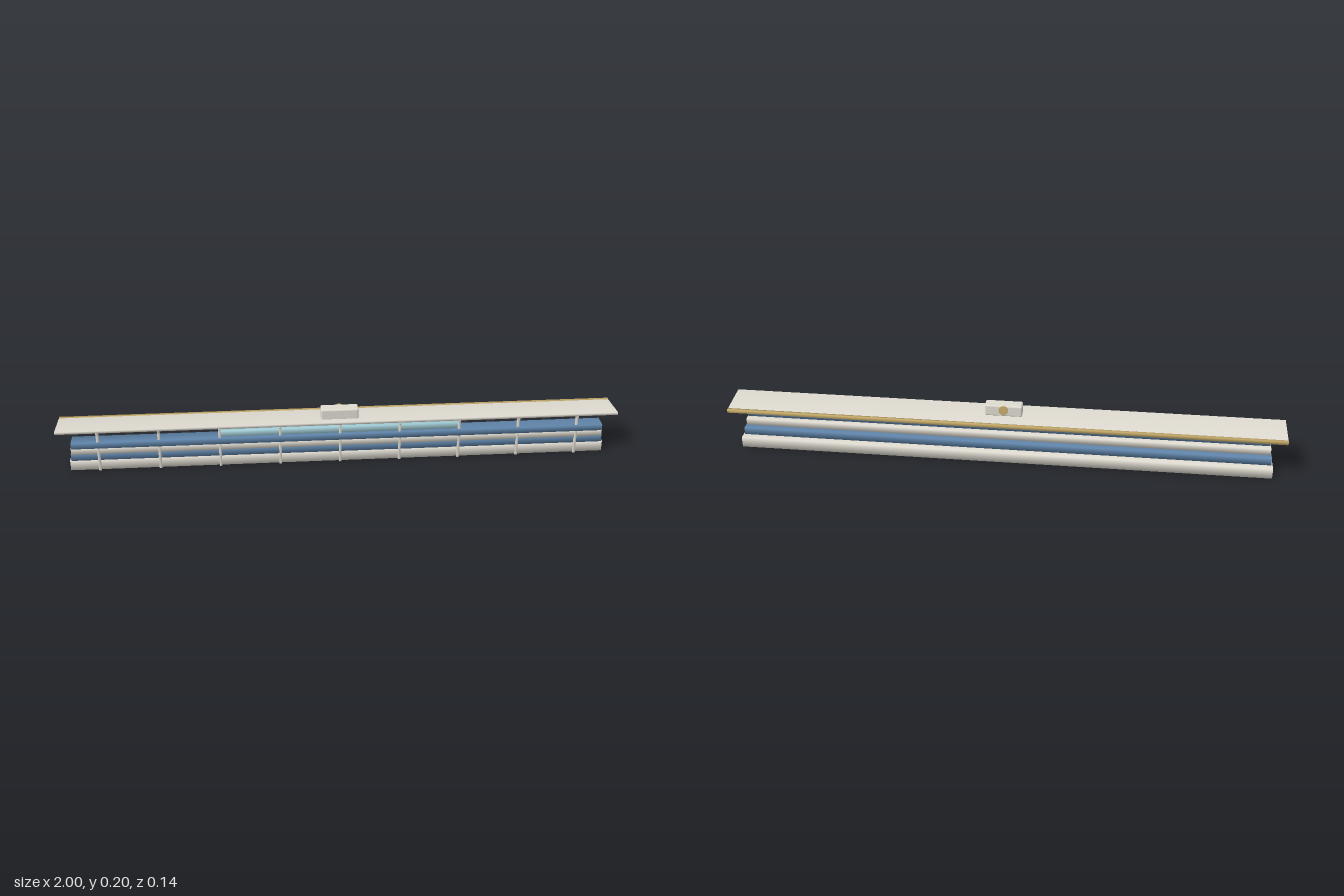
import * as THREE from 'three';
import { mergeVertices } from 'three/addons/utils/BufferGeometryUtils.js';
import { RoundedBoxGeometry } from 'three/addons/geometries/RoundedBoxGeometry.js';

const material = (name, color) => {
  const m = new THREE.MeshStandardMaterial({ color });
  m.name = name;
  return m;
};

// Box with shared corners, so its normals blend softly around the edges
function softBox(w, h, d) {
  const g = new THREE.BoxGeometry(w, h, d);
  g.deleteAttribute('uv');
  g.deleteAttribute('normal');
  const merged = mergeVertices(g);
  merged.computeVertexNormals();
  return merged;
}

export function createModel() {
  const model = new THREE.Group();
  model.name = 'grandstand';
  const white = material('warmWhite', 0xdedad0);
  const blue = material('seatBlue', 0x5f83a8);
  const glass = material('paleGlass', 0xa5d0da);
  const gold = material('gold', 0xc8ad6c);

  const add = (name, geometry, mat, x, y, z, parent = model) => {
    const mesh = new THREE.Mesh(geometry, mat);
    mesh.name = name;
    mesh.position.set(x, y, z);
    parent.add(mesh);
    return mesh;
  };

  // Stacked tiers: name, material, half width, bottom, top, back z, front z
  const tiers = [
    ['baseTier', white, 0.96, 0, 0.039, -0.063, 0.047],
    ['lowerSeatTier', blue, 0.955, 0.039, 0.066, -0.038, 0.049],
    ['middleTier', white, 0.952, 0.066, 0.091, -0.014, 0.055],
    ['upperSeatTier', blue, 0.95, 0.091, 0.114, 0.007, 0.06],
    ['glassGallery', glass, 0.43, 0.114, 0.137, 0.021, 0.047],
  ];
  for (const [name, mat, half, y0, y1, z0, z1] of tiers) {
    add(name, softBox(half * 2, y1 - y0, z1 - z0), mat, 0, (y0 + y1) / 2, (z0 + z1) / 2);
  }

  // Front posts, each carrying a roof rafter
  const frames = new THREE.Group();
  frames.name = 'roofFrames';
  model.add(frames);
  const postGeometry = softBox(0.009, 0.15, 0.009);
  const rafterGeometry = softBox(0.007, 0.006, 0.125);
  for (let i = -4; i <= 4; i++) {
    add('post', postGeometry, white, i * 0.214, 0.075, 0.051, frames);
    add('rafter', rafterGeometry, white, i * 0.214, 0.15, 0.004, frames);
  }

  // Canopy roof, sloping down to the back, with a gold trim
  const roof = add('roof', softBox(2, 0.009, 0.13), white, 0, 0.1558, 0.005);
  roof.rotation.x = -0.08;
  add('roofTrim', softBox(2, 0.013, 0.011), gold, 0, 0.15, -0.063);

  // Rooftop booth with a round gold dial at the back
  add('booth', new RoundedBoxGeometry(0.134, 0.042, 0.045, 3, 0.006), white, 0, 0.179, 0.0155);
  const dial = add('boothDial', new THREE.CylinderGeometry(0.017, 0.017, 0.006, 24), gold, 0, 0.183, -0.008);
  dial.rotation.x = Math.PI / 2;

  return model;
}
